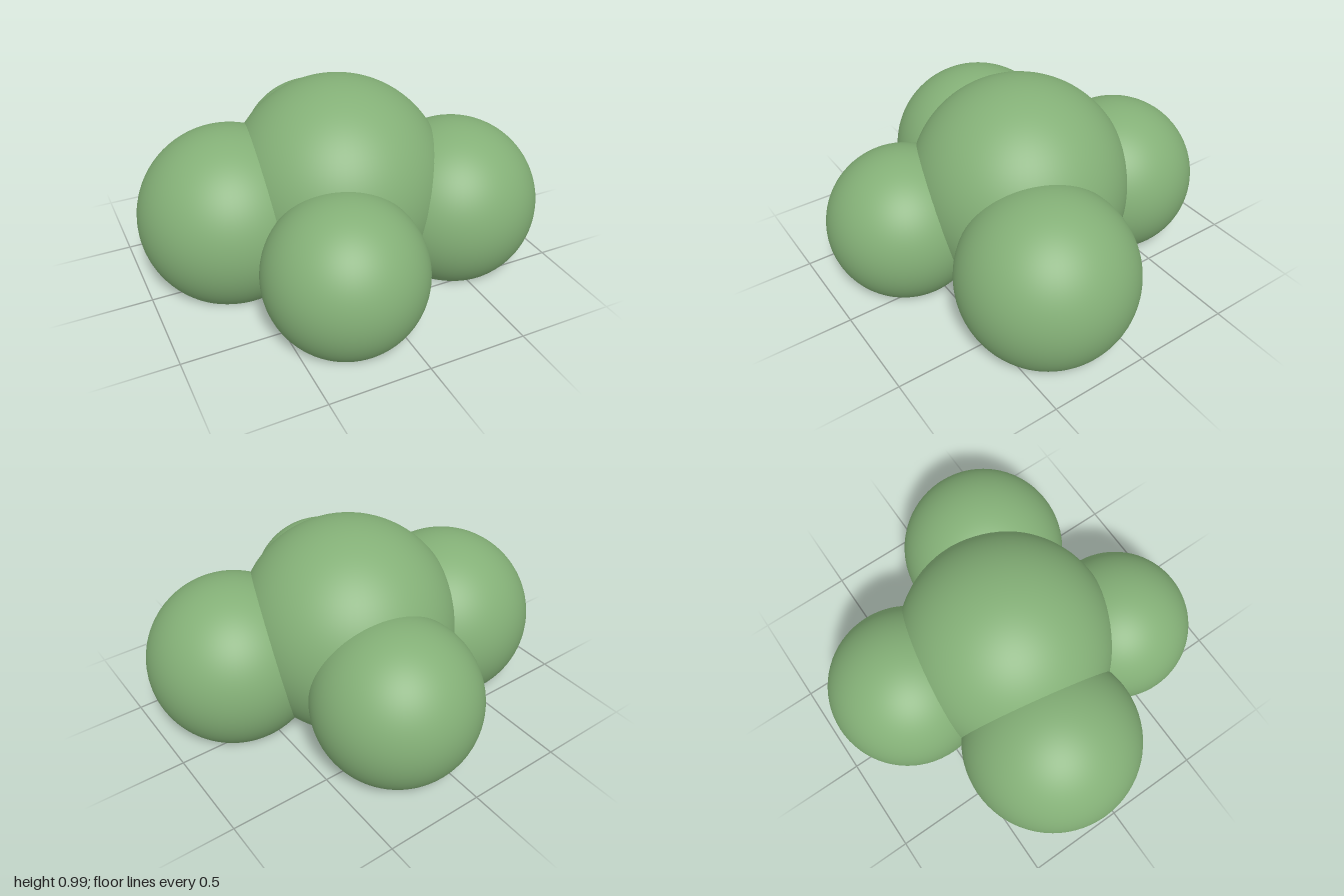
import * as THREE from 'three';

// One rounded lobe, cut flat at ground level and closed underneath.
function lobe(name, x, y, z, r, material) {
  const group = new THREE.Group();
  group.name = name;
  group.position.set(x, 0, z);

  const cutAngle = Math.acos(-y / r);
  const dome = new THREE.Mesh(
    new THREE.SphereGeometry(r, 72, 44, 0, Math.PI * 2, 0, cutAngle), material);
  dome.name = name + 'Dome';
  dome.position.y = y;

  const base = new THREE.Mesh(
    new THREE.CircleGeometry(r * Math.sin(cutAngle), 72), material);
  base.name = name + 'Base';
  base.rotation.x = Math.PI / 2; // faces down

  group.add(dome, base);
  return group;
}

export function createModel() {
  const model = new THREE.Group();
  model.name = 'bush';
  const leafGreen = new THREE.MeshStandardMaterial({ color: 0x84b077 });
  leafGreen.name = 'leaf green';

  // name, centre x, y, z, radius
  const lobes = [
    ['centreLobe', 0.01, 0.43, 0.0, 0.56],
    ['rightLobe', -0.54, 0.33, -0.1, 0.46],
    ['leftLobe', 0.56, 0.313, 0.228, 0.438],
    ['frontLobe', -0.21, 0.287, 0.557, 0.395],
    ['backLobe', 0.12, 0.334, -0.54, 0.415],
  ];
  for (const l of lobes) model.add(lobe(...l, leafGreen));
  return model;
}
